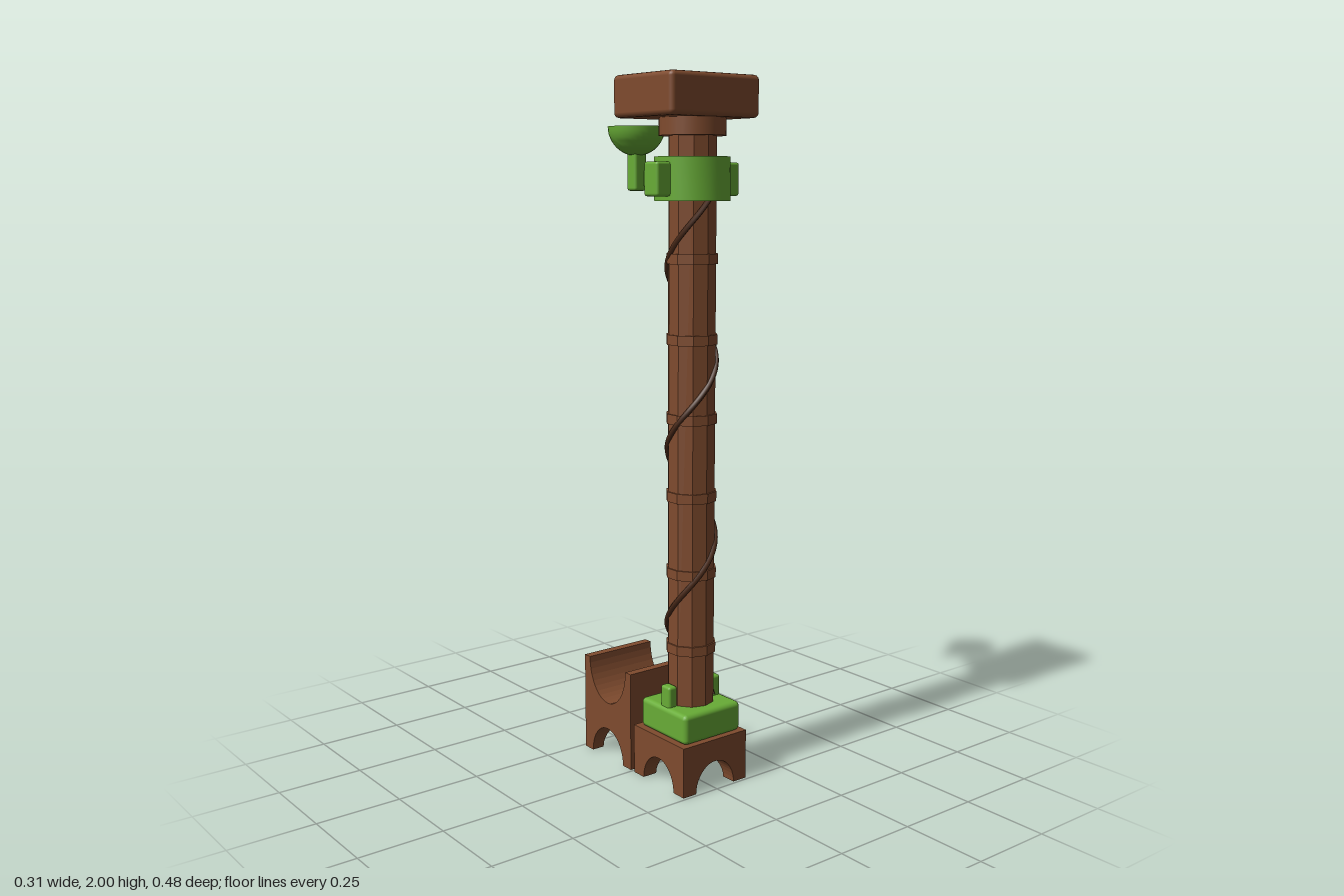
import * as THREE from 'three';
import { mergeGeometries, toCreasedNormals } from 'three/addons/utils/BufferGeometryUtils.js';
import { RoundedBoxGeometry } from 'three/addons/geometries/RoundedBoxGeometry.js';

const COLUMN_Z = 0.128;

const brown = new THREE.MeshStandardMaterial({ color: 0x7f4b2e });
brown.name = 'woodBrown';
const dark = new THREE.MeshStandardMaterial({ color: 0x4a2a19 });
dark.name = 'vineDarkBrown';
const green = new THREE.MeshStandardMaterial({ color: 0x68ac36 });
green.name = 'green';

function faceted(geometry) {
  const g = geometry.index ? geometry.toNonIndexed() : geometry;
  g.computeVertexNormals();
  return g;
}

// Square block with crossing arched tunnels below and an optional elliptical saddle on top
function archedBlock(half, height, archR, archH, saddleR, saddleDepth) {
  const curve = (t, r, h) => (Math.abs(t) < r - 1e-6 ? h * Math.sqrt(1 - (t / r) ** 2) : 0);
  const samples = (r) => {
    const s = [-half];
    for (let i = 0; i <= 20; i++) s.push(-r * Math.cos((Math.PI * i) / 20));
    return [...s, half];
  };
  const parts = [];

  // Vaulted underside
  const s = samples(archR);
  const n = s.length - 1;
  const under = new THREE.PlaneGeometry(1, 1, n, n).rotateX(Math.PI / 2);
  const up = under.attributes.position;
  for (let i = 0; i < up.count; i++) {
    const x = s[i % (n + 1)];
    const z = -s[Math.floor(i / (n + 1))];
    up.setXYZ(i, x, Math.max(curve(x, archR, archH), curve(z, archR, archH)), z);
  }
  parts.push(under);

  // Top surface, dipped along z when there is a saddle
  const ts = saddleR ? samples(saddleR) : [-half, half];
  const topY = (z) => height - (saddleR ? curve(z, saddleR, saddleDepth) : 0);
  const top = new THREE.PlaneGeometry(half * 2, 1, 1, ts.length - 1).rotateX(-Math.PI / 2);
  const tp = top.attributes.position;
  for (let i = 0; i < tp.count; i++) {
    const z = ts[Math.floor(i / 2)];
    tp.setXYZ(i, tp.getX(i), topY(z), z);
  }
  parts.push(top);

  // Four outer walls
  for (let k = 0; k < 4; k++) {
    const along = k % 2 ? ts : [-half, half];
    const outline = s.map((t) => new THREE.Vector2(t, curve(t, archR, archH)));
    for (const t of [...along].reverse()) {
      outline.push(new THREE.Vector2(t, k % 2 ? topY(t) : height));
    }
    const wall = new THREE.ShapeGeometry(new THREE.Shape(outline));
    parts.push(wall.translate(0, 0, half).rotateY((k * Math.PI) / 2));
  }
  return mergeGeometries(parts.map(faceted));
}

export function createModel() {
  const model = new THREE.Group();
  model.name = 'columnWithCup';

  const add = (name, geometry, material, x, y, z) => {
    const mesh = new THREE.Mesh(geometry, material);
    mesh.name = name;
    mesh.position.set(x, y, z);
    model.add(mesh);
    return mesh;
  };
  // Rounded box given by its width, height, depth and centre
  const box = (name, material, w, h, d, x, y, z, r = 0.008) =>
    add(name, new RoundedBoxGeometry(w, h, d, 2, r), material, x, y, z);
  const lathe = (points, sides) =>
    toCreasedNormals(new THREE.LatheGeometry(points.map(([r, y]) => new THREE.Vector2(r, y)), sides), 0.6);

  // Feet
  add('frontFoot', archedBlock(0.116, 0.147, 0.07, 0.082), brown, 0, 0, 0.125);
  add('backCradle', archedBlock(0.116, 0.295, 0.077, 0.092, 0.09, 0.122), brown, 0, 0, -0.124);

  // Green socket with side posts
  box('socket', green, 0.206, 0.088, 0.206, 0, 0.191, COLUMN_Z, 0.014);
  for (const side of [-1, 1]) {
    box('socketPost', green, 0.03, 0.1, 0.042, side * 0.08, 0.245, COLUMN_Z);
  }

  // Ten-sided column and its bands
  add('column', faceted(new THREE.CylinderGeometry(0.068, 0.068, 1.66, 10)), brown, 0, 1.06, COLUMN_Z);
  for (let i = 0; i < 6; i++) {
    const band = faceted(new THREE.CylinderGeometry(0.073, 0.073, 0.028, 10));
    add('columnBand', band, brown, 0, 0.4 + i * 0.2215, COLUMN_Z);
  }

  // Vine winding up the column
  const vinePoints = [];
  for (let i = 0; i <= 75; i++) {
    const y = 0.24 + (1.6 * i) / 75;
    const a = (2 * Math.PI * (y - 0.65)) / 0.507;
    vinePoints.push(new THREE.Vector3(0.068 * Math.sin(a), y, 0.068 * Math.cos(a)));
  }
  const vineCurve = new THREE.CatmullRomCurve3(vinePoints);
  add('vine', new THREE.TubeGeometry(vineCurve, 200, 0.008, 6), dark, 0, 0, COLUMN_Z);

  // Hollow collar with side knobs and a rear arm
  const ring = [[0.08, 0], [0.104, 0], [0.104, 0.118], [0.08, 0.118], [0.08, 0]];
  add('collar', lathe(ring, 32), green, 0, 1.664, COLUMN_Z);
  for (const side of [-1, 1]) {
    box('collarKnob', green, 0.05, 0.092, 0.06, side * 0.12, 1.722, COLUMN_Z);
  }
  box('collarArm', green, 0.05, 0.05, 0.105, 0, 1.725, -0.0125);

  // Cup on a short stem behind the column
  const cup = [];
  for (let i = 0; i <= 12; i++) {
    const a = (Math.PI / 2) * (i / 12);
    cup.push([0.082 * Math.sin(a), -0.082 * Math.cos(a)]);
  }
  for (let i = 12; i >= 0; i--) {
    const a = (Math.PI / 2) * (i / 12);
    cup.push([0.07 * Math.sin(a), -0.07 * Math.cos(a)]);
  }
  add('cup', lathe(cup, 32), green, 0, 1.87, -0.124);
  box('cupStem', green, 0.042, 0.118, 0.042, 0, 1.749, -0.124);

  // Neck and head block with a flat slot
  add('neck', new THREE.CylinderGeometry(0.092, 0.092, 0.055, 32), brown, 0, 1.865, COLUMN_Z);
  box('head', brown, 0.308, 0.114, 0.26, 0, 1.942, 0.101, 0.014);
  add('headSlot', new THREE.BoxGeometry(0.153, 0.004, 0.023), brown, 0, 1.998, 0.1);

  return model;
}
